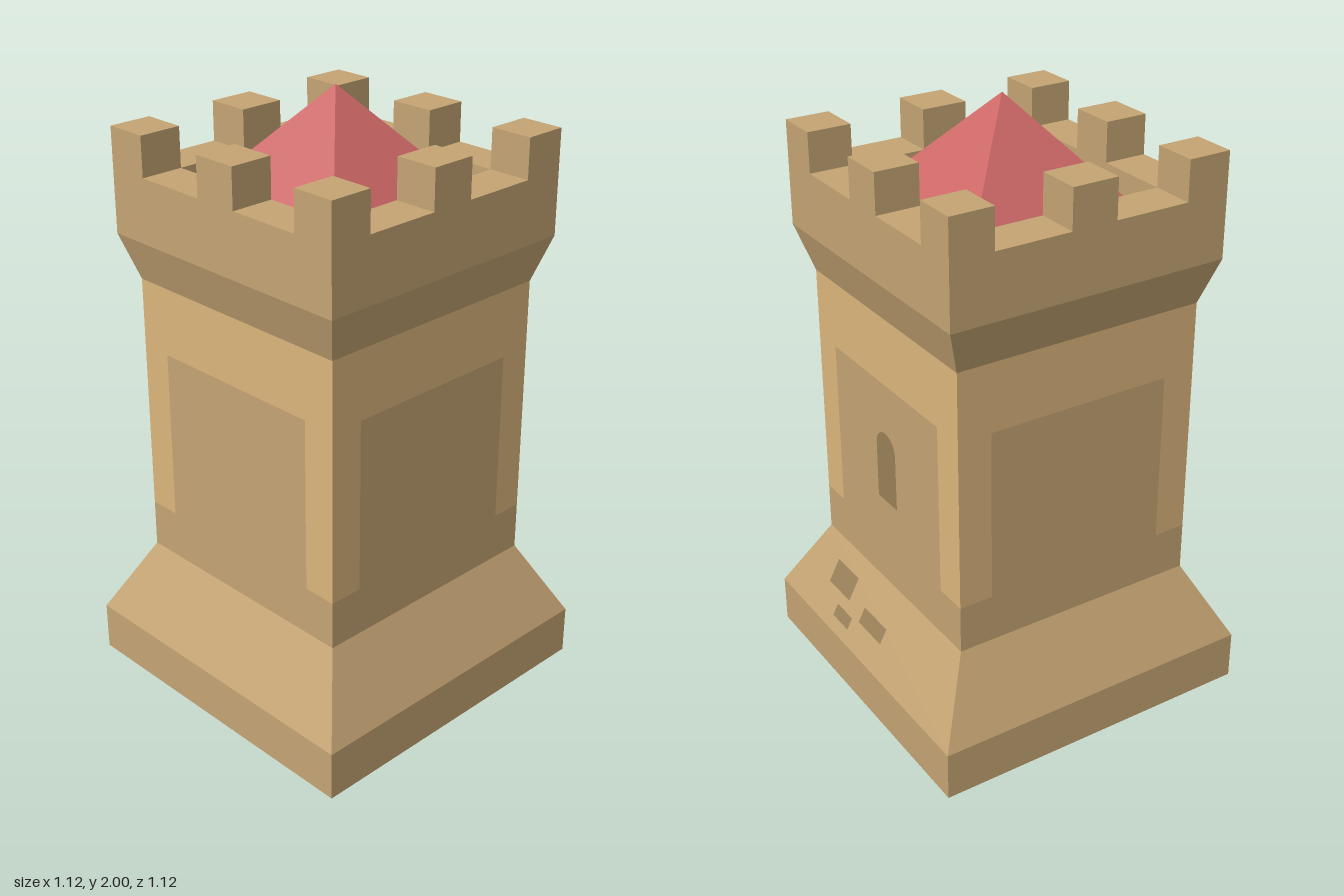
import * as THREE from 'three';

const paint = (color) => new THREE.MeshStandardMaterial({ color, flatShading: true });
const STONE = paint(0xc4a473), LIGHT = paint(0xdcb57c), DARK = paint(0x998058), ROOF = paint(0xcc6666);

function add(parent, name, geometry, material) {
  const mesh = new THREE.Mesh(geometry, material);
  mesh.name = name;
  parent.add(mesh);
  return mesh;
}

// Square tower section from a [half width, height] profile, listed bottom to top
function squareSection(profile) {
  const points = profile.map(([half, y]) => new THREE.Vector2(half * Math.SQRT2, y));
  const geometry = new THREE.LatheGeometry(points, 4, Math.PI / 4).toNonIndexed();
  geometry.computeVertexNormals();
  return geometry;
}

export function createModel() {
  const tower = new THREE.Group();
  tower.name = 'castleTower';
  const shaft = 0.427, foot = 0.56, crown = 0.475, inner = 0.33;
  const slopeBottom = 0.165, slopeTop = 0.42, lift = 0.002;

  // Plinth, sloping foot and lower wall band
  add(tower, 'base', squareSection([[0, 0], [foot, 0], [foot, slopeBottom], [shaft, slopeTop], [shaft, 0.58]]), STONE);
  add(tower, 'shaft', squareSection([[shaft, 0.58], [shaft, 1.38]]), LIGHT);

  // Flared corbel and hollow parapet
  add(tower, 'parapet', squareSection([
    [shaft, 1.38], [crown, 1.53], [crown, 1.74], [inner, 1.74], [inner, 1.62],
  ]), STONE);

  // Pyramid roof inside the parapet
  add(tower, 'roof', squareSection([[inner, 1.627], [0, 2]]), ROOF);

  // Merlons: one at each corner and one in the middle of each side
  const thick = crown - inner, ring = (crown + inner) / 2;
  for (const ix of [-1, 0, 1]) {
    for (const iz of [-1, 0, 1]) {
      if (ix === 0 && iz === 0) continue;
      const box = new THREE.BoxGeometry(ix ? thick : 0.154, 0.13, iz ? thick : 0.154);
      add(tower, 'merlon', box, STONE).position.set(ix * ring, 1.805, iz * ring);
    }
  }

  // Painted wall panel on each side
  for (let i = 0; i < 4; i++) {
    const side = new THREE.Group();
    side.name = 'wallSide';
    side.rotation.y = i * Math.PI / 2;
    add(side, 'wallPanel', new THREE.PlaneGeometry(0.63, 0.575), STONE).position.set(0, 0.8675, shaft + lift);
    tower.add(side);
  }

  // Details of the +x side, laid out facing +z and then turned
  const details = new THREE.Group();
  details.name = 'windowSide';
  details.rotation.y = Math.PI / 2;
  tower.add(details);

  // Arched window
  const r = 0.058;
  const arch = new THREE.Shape();
  arch.moveTo(-r, 0.735);
  arch.lineTo(r, 0.735);
  arch.lineTo(r, 0.927);
  arch.absarc(0, 0.927, r, 0, Math.PI, false);
  arch.closePath();
  add(details, 'window', new THREE.ShapeGeometry(arch, 8), DARK).position.z = shaft + 2 * lift;

  // Bricks lying on the slope: [left, right, bottom, top]
  const rise = slopeTop - slopeBottom, run = foot - shaft;
  const tilt = Math.atan2(run, rise);
  const bricks = [[-0.31, -0.17, 0.28, 0.355], [-0.22, -0.12, 0.207, 0.245], [-0.08, 0.065, 0.253, 0.302]];
  for (const [x0, x1, y0, y1] of bricks) {
    const y = (y0 + y1) / 2;
    const geometry = new THREE.PlaneGeometry(x1 - x0, (y1 - y0) / Math.cos(tilt));
    const brick = add(details, 'brick', geometry, DARK);
    brick.position.set((x0 + x1) / 2, y + lift * Math.sin(tilt),
      foot - (y - slopeBottom) * run / rise + lift * Math.cos(tilt));
    brick.rotation.x = -tilt;
  }
  return tower;
}
